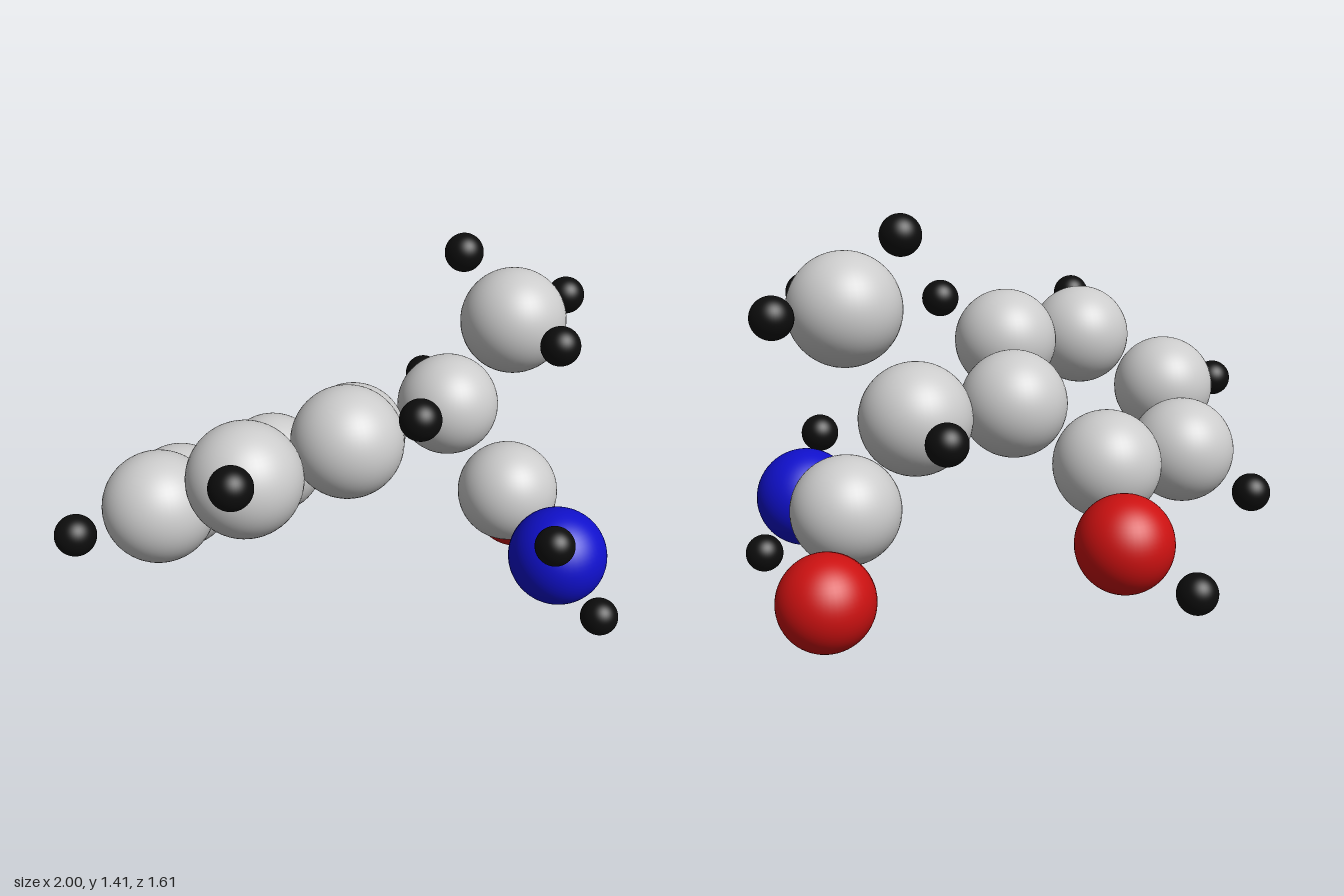
import * as THREE from 'three';

// Each kind of atom: radius and colour
const KINDS = {
  carbon: { radius: 0.193, color: 0xcccccc },
  oxygen: { radius: 0.167, color: 0xcc1111 },
  nitrogen: { radius: 0.18, color: 0x1010cc },
  hydrogen: { radius: 0.07, color: 0x0d0d0d },
};

// Atom centres by functional group: [kind, x, y, z]
const GROUPS = {
  carbonRing: [
    ['carbon', -0.662, 0.648, 0.275],
    ['carbon', -0.606, 0.49, -0.08],
    ['carbon', -0.255, 0.515, -0.255],
    ['carbon', 0.04, 0.71, -0.08],
    ['carbon', -0.018, 0.866, 0.28],
    ['carbon', -0.368, 0.835, 0.455],
  ],
  ringHydrogens: [
    ['hydrogen', -0.932, 0.63, 0.41],
    ['hydrogen', -0.835, 0.345, -0.213],
    ['hydrogen', 0.204, 1.01, 0.432],
    ['hydrogen', -0.412, 0.958, 0.732],
  ],
  hydroxyl: [
    ['oxygen', -0.204, 0.352, -0.604],
    ['hydrogen', -0.412, 0.208, -0.735],
  ],
  centralBranch: [
    ['carbon', 0.424, 0.731, -0.266],
    ['hydrogen', 0.378, 0.728, -0.577],
  ],
  methyl: [
    ['carbon', 0.639, 1.098, -0.185],
    ['hydrogen', 0.457, 1.343, -0.244],
    ['hydrogen', 0.741, 1.11, 0.105],
    ['hydrogen', 0.885, 1.116, -0.379],
  ],
  amide: [
    ['carbon', 0.657, 0.392, -0.166],
    ['oxygen', 0.759, 0.17, -0.42],
    ['nitrogen', 0.766, 0.323, 0.213],
    ['hydrogen', 0.687, 0.503, 0.431],
    ['hydrogen', 0.927, 0.087, 0.28],
  ],
};

export function createModel() {
  const model = new THREE.Group();
  model.name = 'molecule';

  // One shared sphere and material per kind of atom
  const parts = {};
  for (const [kind, { radius, color }] of Object.entries(KINDS)) {
    parts[kind] = {
      geometry: new THREE.SphereGeometry(radius, 48, 32),
      material: new THREE.MeshStandardMaterial({ color }),
    };
  }

  for (const [name, atoms] of Object.entries(GROUPS)) {
    const group = new THREE.Group();
    group.name = name;
    atoms.forEach(([kind, x, y, z], i) => {
      const atom = new THREE.Mesh(parts[kind].geometry, parts[kind].material);
      atom.name = `${kind}Atom${i + 1}`;
      atom.position.set(x, y, z);
      group.add(atom);
    });
    model.add(group);
  }
  return model;
}
